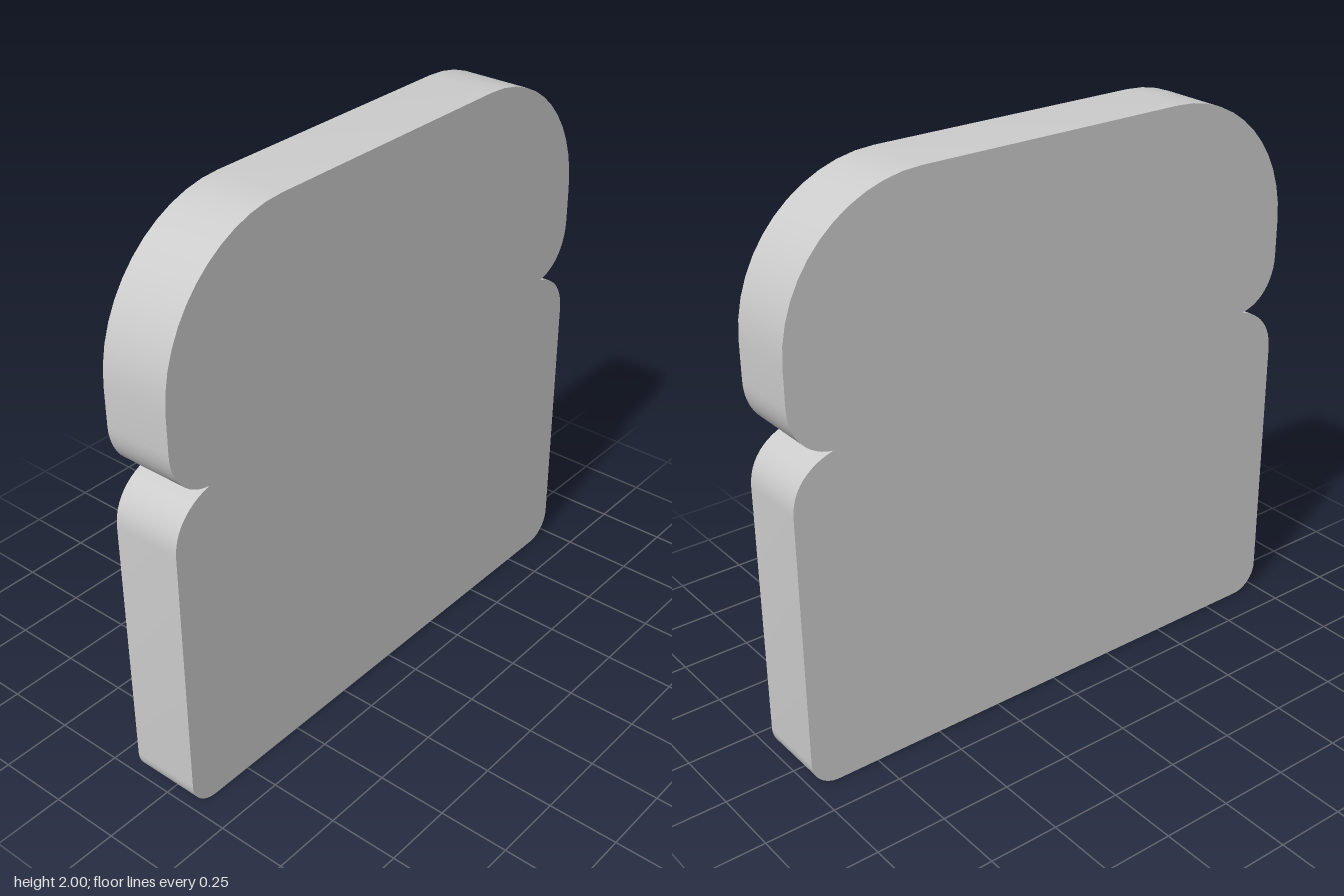
import * as THREE from 'three';
import { toCreasedNormals } from 'three/addons/utils/BufferGeometryUtils.js';

const DEPTH = 0.25;

// Outline of a bread slice: square body, side notches, domed crown
function sliceShape() {
  const k = 0.776; // bezier handle position for a quarter circle of radius 0.5
  const s = new THREE.Shape();
  s.moveTo(-0.9, 0);
  s.lineTo(0.9, 0);
  s.absarc(0.9, 0.1, 0.1, -Math.PI / 2, 0, false);
  s.lineTo(1, 1.01);
  // right shoulder, notch and crown
  s.bezierCurveTo(1, 1.1, 0.945, 1.165, 0.85, 1.19);
  s.bezierCurveTo(0.94, 1.2, 1, 1.275, 1, 1.37);
  s.lineTo(1, 1.5);
  s.bezierCurveTo(1, 1 + k, k, 2, 0.5, 2);
  s.lineTo(-0.5, 2);
  // mirrored left side
  s.bezierCurveTo(-k, 2, -1, 1 + k, -1, 1.5);
  s.lineTo(-1, 1.37);
  s.bezierCurveTo(-1, 1.275, -0.94, 1.2, -0.85, 1.19);
  s.bezierCurveTo(-0.945, 1.165, -1, 1.1, -1, 1.01);
  s.lineTo(-1, 0.1);
  s.absarc(-0.9, 0.1, 0.1, Math.PI, Math.PI * 1.5, false);
  return s;
}

export function createModel() {
  const group = new THREE.Group();
  group.name = 'breadSlice';

  // Flat slice with smooth crust and sharp face edges
  const geometry = new THREE.ExtrudeGeometry(sliceShape(), {
    depth: DEPTH, bevelEnabled: false, curveSegments: 12,
  });
  geometry.translate(0, 0, -DEPTH / 2);
  const slice = new THREE.Mesh(
    toCreasedNormals(geometry, Math.PI / 6),
    new THREE.MeshStandardMaterial({ color: 0xcccccc }),
  );
  slice.name = 'slice';
  group.add(slice);
  return group;
}
